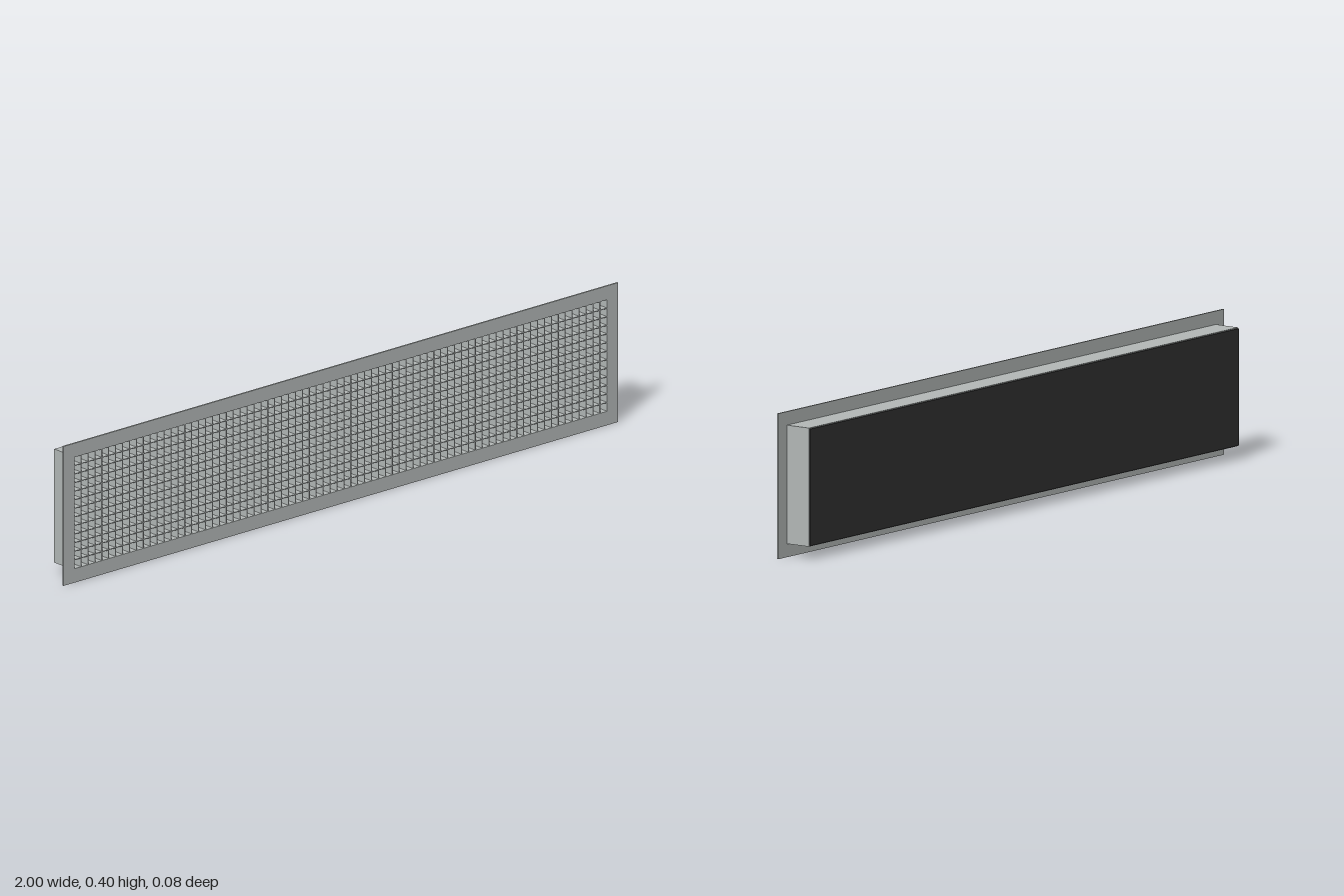
import * as THREE from 'three';

const CY = 0.2; // height of the grille's centre line

function rect(w, h, Kind = THREE.Shape) {
  const s = new Kind();
  s.moveTo(-w / 2, -h / 2);
  s.lineTo(w / 2, -h / 2);
  s.lineTo(w / 2, h / 2);
  s.lineTo(-w / 2, h / 2);
  s.closePath();
  return s;
}

// rectangular ring running from z0 to z1
function ring(w, h, innerW, innerH, z0, z1) {
  const s = rect(w, h);
  s.holes.push(rect(innerW, innerH, THREE.Path));
  const g = new THREE.ExtrudeGeometry(s, { depth: z1 - z0, bevelEnabled: false });
  return g.translate(0, CY, z0);
}

function box(w, h, z0, z1) {
  return new THREE.BoxGeometry(w, h, z1 - z0).translate(0, CY, (z0 + z1) / 2);
}

export function createModel() {
  const grey = new THREE.MeshStandardMaterial({ color: 0xb5bab9 });
  grey.name = 'painted grey metal';
  const black = new THREE.MeshStandardMaterial({ color: 0x333333 });
  black.name = 'dark backing';

  const model = new THREE.Group();
  model.name = 'ventGrille';
  const add = (name, geometry, material, parent = model) => {
    const mesh = new THREE.Mesh(geometry, material);
    mesh.name = name;
    parent.add(mesh);
    return mesh;
  };

  const neckW = 1.926, neckH = 0.326;
  const openW = 1.92, openH = 0.32;

  // flat flange, neck behind it and the closing panels
  add('frontFlange', ring(2, 0.4, openW, openH, 0.037, 0.042), grey);
  add('neck', ring(neckW, neckH, openW, openH, -0.038, 0.037), grey);
  add('innerPanel', box(openW, openH, -0.038, -0.035), grey);
  add('backPanel', box(1.922, 0.321, -0.042, -0.038), black);

  // egg-crate core of crossing slats
  const core = new THREE.Group();
  core.name = 'gridCore';
  model.add(core);
  const cols = 77, rows = 13, thick = 0.002;
  const upright = box(thick, openH, -0.035, 0.041);
  const level = box(openW, thick, -0.035, 0.041);
  for (let i = 1; i < cols; i++) {
    add('verticalSlat', upright, grey, core).position.x = (i / cols - 0.5) * openW;
  }
  for (let j = 1; j < rows; j++) {
    add('horizontalSlat', level, grey, core).position.y = (j / rows - 0.5) * openH;
  }
  return model;
}
